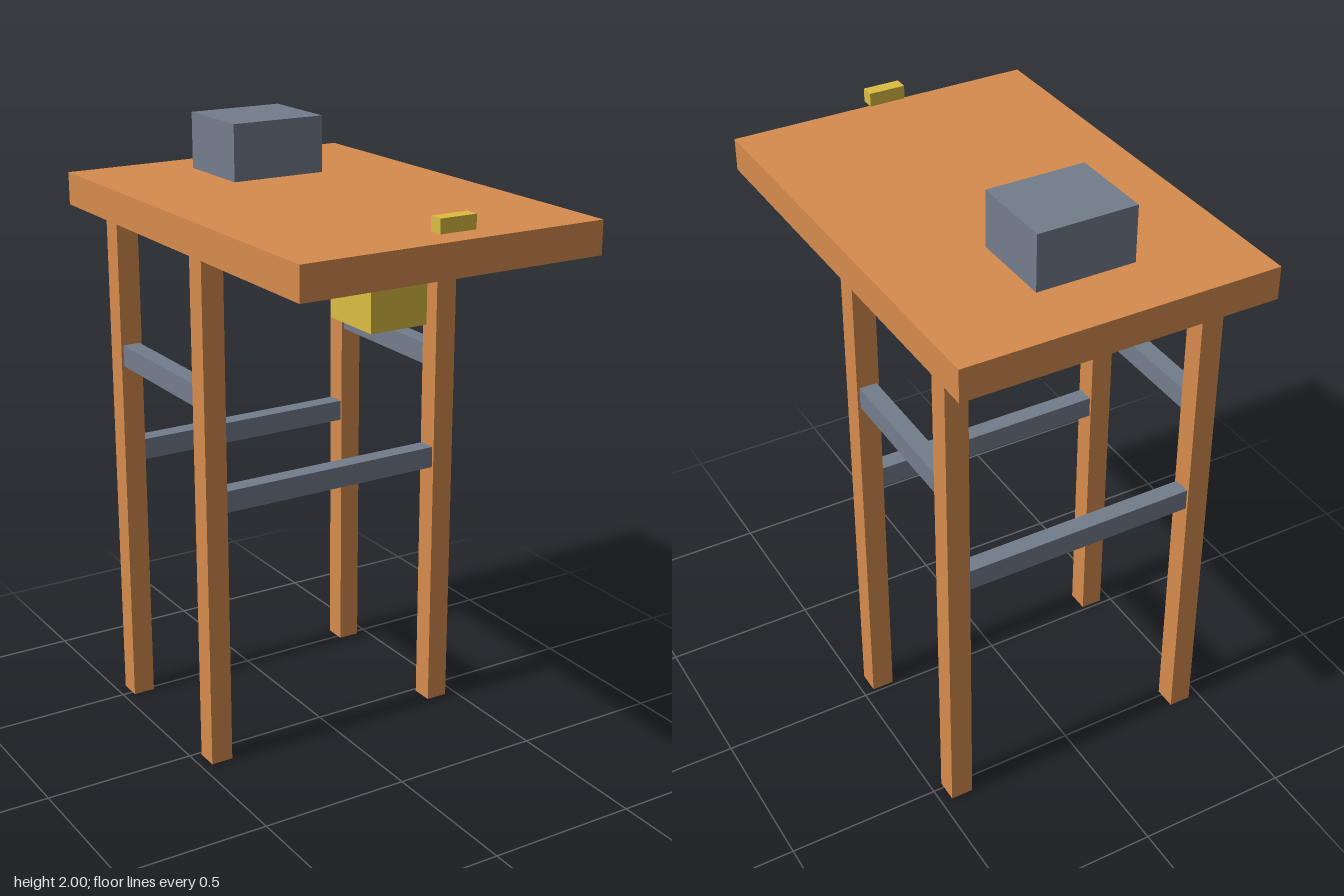
import * as THREE from 'three';

export function createModel() {
  const model = new THREE.Group();
  model.name = 'table';

  const wood = new THREE.MeshStandardMaterial({ color: 0xd68c4e });
  const steel = new THREE.MeshStandardMaterial({ color: 0x737d8c });
  const yellow = new THREE.MeshStandardMaterial({ color: 0xdcbd42 });

  // Box given by its size and centre
  const box = (name, material, [w, h, d], [x, y, z]) => {
    const mesh = new THREE.Mesh(new THREE.BoxGeometry(w, h, d), material);
    mesh.name = name;
    mesh.position.set(x, y, z);
    model.add(mesh);
  };

  const legX = 0.426, leg = 0.074, frontZ = 0.05, backZ = -0.519;
  const topBottom = 1.7, rail = 0.071, railDepth = 0.058;

  box('tabletop', wood, [1.024, 0.106, 1.46], [0, topBottom + 0.053, 0]);

  // Legs, with a cross rail between each pair
  for (const [end, z] of [['front', frontZ], ['back', backZ]]) {
    for (const [side, s] of [['Left', 1], ['Right', -1]]) {
      box(`${end}${side}Leg`, wood, [leg, topBottom, leg], [s * legX, topBottom / 2, z]);
    }
    box(`${end}Rail`, steel, [2 * legX - leg, rail, railDepth], [0, 0.896, z]);
  }

  // Higher rails along the sides
  for (const [side, s] of [['left', 1], ['right', -1]]) {
    box(`${side}Rail`, steel, [railDepth, rail, frontZ - backZ - leg],
      [s * legX, 1.236, (frontZ + backZ) / 2]);
  }

  // Block above the top, small front tab and box below the top
  box('topBlock', steel, [0.322, 0.182, 0.279], [0, 1.909, -0.387]);
  box('frontTab', yellow, [0.122, 0.044, 0.045], [0, 1.852, 0.702]);
  box('underBox', yellow, [0.197, 0.141, 0.217], [0, 1.554, 0.334]);

  return model;
}
